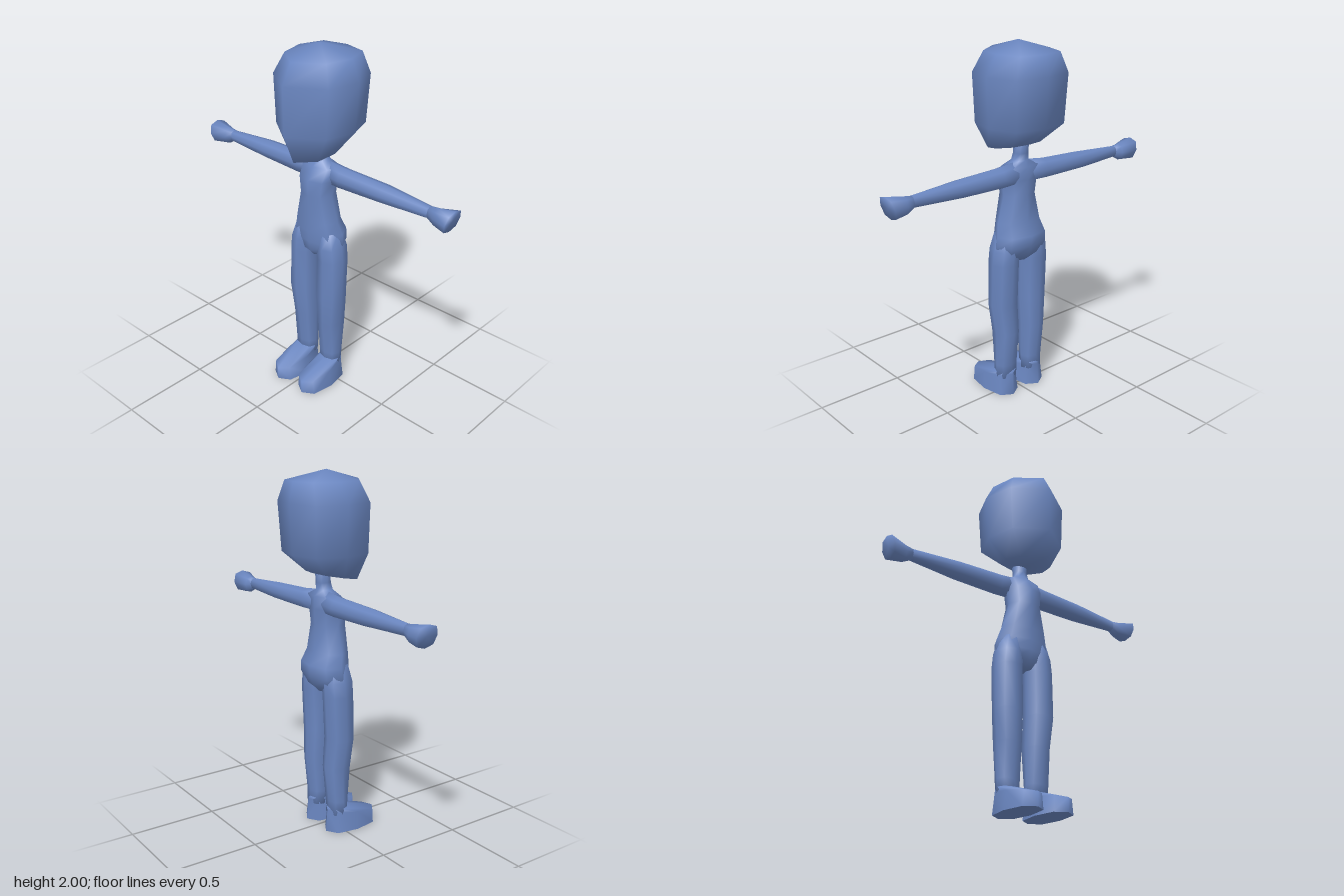
import * as THREE from 'three';

const SIDES = 8;
const spow = (v, e) => Math.sign(v) * Math.pow(Math.abs(v), e);

// Horizontal ring: inner/outer x, front/back z; drop lowers the front edge.
function ringY(y, x0, x1, zf, zb, { e = 0.85, drop = 0 } = {}) {
  return Array.from({ length: SIDES }, (_, i) => {
    const a = (i / SIDES) * Math.PI * 2;
    const s = spow(Math.sin(a), e), c = spow(Math.cos(a), e);
    return [(x0 + x1) / 2 + (s * (x1 - x0)) / 2, y - (drop * (1 + c)) / 2, (zf + zb) / 2 + (c * (zf - zb)) / 2];
  });
}

// Vertical ring across the arm; lean pushes the top edge outward.
function ringX(x, y0, y1, z0, z1, { e = 0.85, lean = 0 } = {}) {
  return Array.from({ length: SIDES }, (_, i) => {
    const a = (i / SIDES) * Math.PI * 2;
    const c = spow(Math.cos(a), e), s = spow(Math.sin(a), e);
    return [x + lean * c, (y0 + y1) / 2 + (c * (y1 - y0)) / 2, (z0 + z1) / 2 + (s * (z1 - z0)) / 2];
  });
}

// Head ring with a pointed face and a broad back of the skull.
const HEAD_OUTLINE = [[0, 1], [0.8, 0.5], [1, -0.2], [0.74, -0.84], [0, -1], [-0.74, -0.84], [-1, -0.2], [-0.8, 0.5]];
function headRing(y, w, zf, zb, drop = 0) {
  return HEAD_OUTLINE.map(([u, v]) => [u * w, y - (drop * (1 + v)) / 2, (zf + zb) / 2 + (v * (zf - zb)) / 2]);
}

// Skin through the rings with closed ends; side = -1 mirrors across x.
function loft(rings, { side = 1, start, end, flatStart = false } = {}) {
  const n = rings[0].length, pos = [], idx = [];
  const tri = (a, b, c) => (side > 0 ? idx.push(a, b, c) : idx.push(a, c, b));
  const add = ([x, y, z]) => pos.push(x * side, y, z) / 3 - 1;
  const mid = r => [0, 1, 2].map(k => r.reduce((t, p) => t + p[k], 0) / r.length);
  rings.forEach(r => r.forEach(add));
  for (let i = 0; i < rings.length - 1; i++) {
    for (let j = 0; j < n; j++) {
      const a = i * n + j, b = i * n + ((j + 1) % n);
      tri(a, b, b + n);
      tri(a, b + n, a + n);
    }
  }
  const last = rings.length - 1;
  const base = flatStart ? rings[0].map(add) : rings[0].map((_, j) => j);
  const s = add(start || mid(rings[0])), t = add(end || mid(rings[last]));
  for (let j = 0; j < n; j++) {
    const k = (j + 1) % n;
    tri(s, base[k], base[j]);
    tri(t, last * n + j, last * n + k);
  }
  const g = new THREE.BufferGeometry();
  g.setAttribute('position', new THREE.Float32BufferAttribute(pos, 3));
  g.setIndex(idx);
  g.computeVertexNormals();
  return g;
}

export function createModel() {
  const model = new THREE.Group();
  model.name = 'figure';
  const blue = new THREE.MeshStandardMaterial({ color: 0x6a86c0 });
  blue.name = 'soft blue';
  const part = (name, geometry) => {
    const m = new THREE.Mesh(geometry, blue);
    m.name = name;
    model.add(m);
  };

  // Oversized head
  part('head', loft([
    headRing(1.465, 0.13, 0.18, -0.11, 0.055),
    headRing(1.57, 0.22, 0.245, -0.235),
    headRing(1.835, 0.237, 0.25, -0.25),
    headRing(1.945, 0.18, 0.19, -0.225),
  ], { start: [0, 1.44, 0], end: [0, 2, -0.02] }));

  // Torso and neck: y, half width, front z, back z
  part('torso', loft([
    [0.805, 0.04, 0.03, -0.07], [0.84, 0.14, 0.06, -0.105], [0.9, 0.165, 0.07, -0.13],
    [0.96, 0.157, 0.072, -0.135], [1.03, 0.138, 0.072, -0.1], [1.18, 0.095, 0.075, -0.095],
    [1.27, 0.108, 0.075, -0.1], [1.34, 0.115, 0.035, -0.098], [1.37, 0.045, 0.01, -0.075],
    [1.41, 0.038, 0.0, -0.08], [1.49, 0.038, -0.005, -0.085],
  ].map(([y, w, zf, zb]) => ringY(y, -w, w, zf, zb))));

  for (const side of [1, -1]) {
    const label = side > 0 ? 'left' : 'right';

    // Leg running down into the foot
    part(label + 'Leg', loft([
      ringY(0.1, 0.03, 0.155, 0.035, -0.07),
      ringY(0.18, 0.027, 0.158, 0.038, -0.07),
      ringY(0.38, 0.025, 0.16, 0.058, -0.095),
      ringY(0.55, 0.024, 0.18, 0.07, -0.085),
      ringY(0.8, 0.024, 0.178, 0.068, -0.098),
      ringY(0.88, 0.02, 0.168, 0.068, -0.1),
      ringY(0.97, 0.03, 0.14, 0.05, -0.08),
    ], { side }));

    // Wedge foot with a blunt pointed toe
    part(label + 'Foot', loft([
      ringY(0, 0.01, 0.18, 0.235, -0.09, { e: 0.8 }),
      ringY(0.125, 0.022, 0.168, 0.235, -0.08, { e: 0.8, drop: 0.05 }),
      ringY(0.14, 0.03, 0.155, 0.035, -0.07),
    ], { side, flatStart: true }));

    // Outstretched arm
    part(label + 'Arm', loft([
      ringX(0.05, 1.24, 1.365, -0.09, 0.01),
      ringX(0.15, 1.238, 1.352, -0.095, 0.012),
      ringX(0.42, 1.246, 1.342, -0.1, 0.004),
      ringX(0.71, 1.258, 1.322, -0.076, -0.02),
    ], { side }));

    // Flared mitten hand
    part(label + 'Hand', loft([
      ringX(0.705, 1.258, 1.322, -0.076, -0.02),
      ringX(0.75, 1.232, 1.328, -0.086, -0.01),
      ringX(0.84, 1.225, 1.347, -0.112, 0.02, { lean: 0.015, e: 0.8 }),
    ], { side }));
  }
  return model;
}
